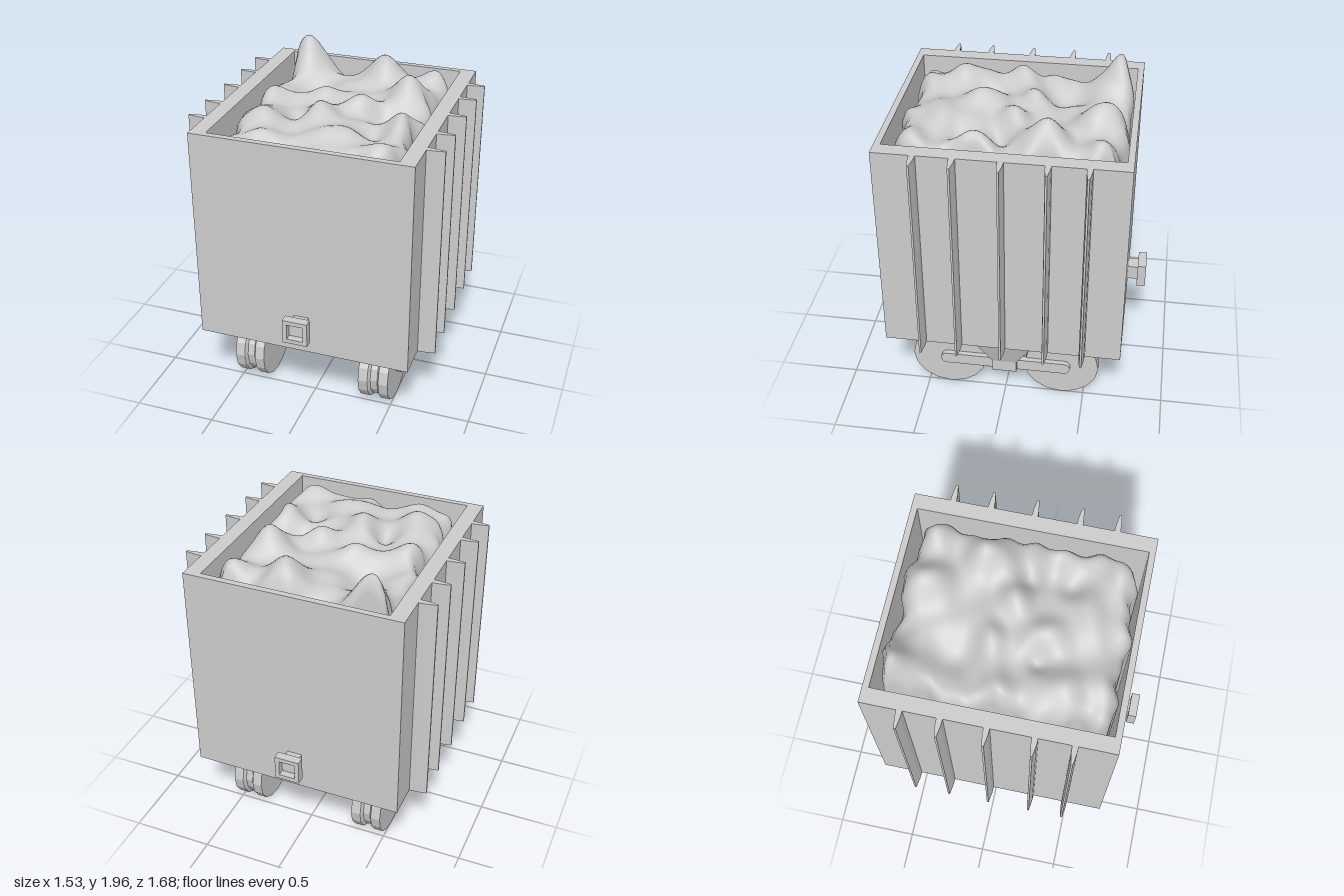
import * as THREE from 'three';

const material = new THREE.MeshStandardMaterial({ color: 0xcccccc });
const flatMaterial = new THREE.MeshStandardMaterial({ color: 0xcccccc, flatShading: true });

function add(parent, name, geometry, x = 0, y = 0, z = 0, mat = flatMaterial) {
  const mesh = new THREE.Mesh(geometry, mat);
  mesh.name = name;
  mesh.position.set(x, y, z);
  parent.add(mesh);
  return mesh;
}

const polygon = (pts) => new THREE.Shape(pts.map(([x, y]) => new THREE.Vector2(x, y)));
const rect = (w, h) => polygon([[-w, -h], [w, -h], [w, h], [-w, h]]);

// Rectangular ring (half sizes), extruded along +z
function frame(w, h, innerW, innerH, depth) {
  const shape = rect(w, h);
  shape.holes.push(rect(innerW, innerH));
  return new THREE.ExtrudeGeometry(shape, { depth, bevelEnabled: false });
}

// Heaped load: a grid shaped by mounds and hollows, its last ring dropped as a skirt
function loadGeometry() {
  // x, z, height, radius
  const mounds = [
    [-0.41, -0.6, 0.23, 0.12], [0.12, -0.52, 0.16, 0.13], [0.36, -0.22, 0.18, 0.11],
    [0.45, -0.56, 0.08, 0.11], [-0.05, 0.2, 0.12, 0.11], [-0.12, -0.08, 0.08, 0.09],
    [-0.42, 0.02, 0.07, 0.12], [-0.36, 0.36, 0.1, 0.13], [0.12, 0.42, 0.07, 0.14],
    [0.45, 0.2, 0.1, 0.1], [0.43, 0.56, 0.06, 0.1], [-0.3, 0.58, 0.04, 0.1],
    [0.13, -0.02, 0.08, 0.1], [-0.28, -0.28, -0.1, 0.12], [-0.14, -0.58, -0.05, 0.09],
    [0.3, 0.05, -0.06, 0.08], [-0.2, 0.18, -0.08, 0.07], [0.28, 0.3, -0.05, 0.09],
  ];
  const height = (x, z) => {
    let y = 1.755 + 0.014 * Math.sin(17 * x + 5 * z) * Math.cos(15 * z - 6 * x)
      + 0.01 * Math.sin(29 * z + 11 * x);
    for (const [mx, mz, h, r] of mounds) {
      y += h * Math.exp(-((x - mx) ** 2 + (z - mz) ** 2) / (r * r));
    }
    return y;
  };
  const geometry = new THREE.PlaneGeometry(2, 2, 52, 60).rotateX(-Math.PI / 2);
  const p = geometry.attributes.position;
  for (let i = 0; i < p.count; i++) {
    const skirt = Math.max(Math.abs(p.getX(i)), Math.abs(p.getZ(i))) > 0.99;
    const u = THREE.MathUtils.clamp(p.getX(i) * 52 / 50, -1, 1);
    const v = THREE.MathUtils.clamp(p.getZ(i) * 60 / 58, -1, 1);
    // wavy outline with slightly rounded corners
    const round = 1 - 0.06 * (u * v) ** 4;
    const x = u * round * (0.525 + 0.03 * Math.sin(9 * v + 2 * u) + 0.012 * Math.sin(23 * v));
    const z = v * round * (0.665 + 0.018 * Math.sin(8 * u + v) + 0.008 * Math.sin(19 * u));
    const edge = Math.max(Math.abs(u), Math.abs(v));
    p.setXYZ(i, x, skirt ? 0.5 : Math.min(2, height(x, z) - 0.12 * edge ** 22), z);
  }
  geometry.computeVertexNormals();
  return geometry;
}

// Grooved wheel, axis along x
function wheelGeometry() {
  const profile = [[0, -0.095], [0.234, -0.095], [0.234, -0.035], [0.211, -0.022],
    [0.211, 0.022], [0.234, 0.035], [0.234, 0.095], [0, 0.095]];
  return new THREE.LatheGeometry(profile.map(([r, y]) => new THREE.Vector2(r, y)), 16)
    .rotateZ(-Math.PI / 2).scale(1, 0.925, 1);
}

// Tapered bracket: box whose lower face is narrowed
function bracketGeometry(side) {
  const geometry = new THREE.BoxGeometry(1, 1, 1);
  const p = geometry.attributes.position;
  for (let i = 0; i < p.count; i++) {
    const top = p.getY(i) > 0;
    const outer = p.getX(i) * side > 0;
    const x = top ? (outer ? 0.63 : 0.405) : (outer ? 0.56 : 0.5);
    p.setXYZ(i, side * x, top ? 0.46 : 0.262, Math.sign(p.getZ(i)) * (top ? 0.185 : 0.076));
  }
  geometry.computeVertexNormals();
  return geometry;
}

// Flat bar with rounded ends, lying along z and extruded along x
function rodGeometry() {
  const shape = new THREE.Shape();
  shape.absarc(0.374, 0, 0.038, -Math.PI / 2, Math.PI / 2);
  shape.absarc(-0.374, 0, 0.038, Math.PI / 2, Math.PI * 1.5);
  return new THREE.ExtrudeGeometry(shape, { depth: 0.04, bevelEnabled: false, curveSegments: 5 })
    .rotateY(Math.PI / 2).translate(-0.02, 0, 0);
}

export function createModel() {
  const model = new THREE.Group();
  model.name = 'oreWagon';

  // Open tub and its load
  add(model, 'tubWalls', frame(0.66, 0.725, 0.565, 0.687, 1.34).rotateX(-Math.PI / 2), 0, 0.46, 0);
  add(model, 'tubFloor', new THREE.BoxGeometry(1.13, 0.04, 1.374), 0, 0.48, 0);
  add(model, 'load', loadGeometry(), 0, 0, 0, material);

  // Tapered side ribs
  const ribShape = polygon([[0.655, -0.018], [0.7, -0.016], [0.766, -0.006],
    [0.766, 0.006], [0.7, 0.016], [0.655, 0.018]]);
  const ribGeometry = new THREE.ExtrudeGeometry(ribShape, { depth: 1.34, bevelEnabled: false })
    .rotateX(-Math.PI / 2);
  for (const side of [1, -1]) {
    for (const z of [-0.492, -0.266, -0.004, 0.264, 0.486]) {
      add(model, 'sideRib', ribGeometry, 0, 0.46, z).rotation.y = side > 0 ? 0 : Math.PI;
    }
  }

  // Couplers at both ends: square stem with a hollow square head
  for (const end of [0, Math.PI]) {
    const coupler = new THREE.Group();
    coupler.name = 'coupler';
    add(coupler, 'couplerStem', new THREE.BoxGeometry(0.092, 0.092, 0.08), 0, 0, 0.755);
    add(coupler, 'couplerHead', frame(0.077, 0.077, 0.05, 0.05, 0.053), 0, 0, 0.786);
    add(coupler, 'couplerHeadBack', new THREE.BoxGeometry(0.102, 0.102, 0.01), 0, 0, 0.792);
    coupler.position.y = 0.66;
    coupler.rotation.y = end;
    model.add(coupler);
  }

  // Running gear on each side
  const wheel = wheelGeometry();
  const rod = rodGeometry();
  for (const side of [1, -1]) {
    const gear = new THREE.Group();
    gear.name = side > 0 ? 'leftRunningGear' : 'rightRunningGear';
    for (const z of [0.362, -0.356]) add(gear, 'wheel', wheel, side * 0.408, 0.22, z);
    add(gear, 'connectingRod', rod, side * 0.515, 0.223, 0);
    add(gear, 'axleBlock', new THREE.BoxGeometry(0.066, 0.078, 0.152), side * 0.527, 0.224, 0);
    add(gear, 'bracket', bracketGeometry(side));
    model.add(gear);
  }
  return model;
}
